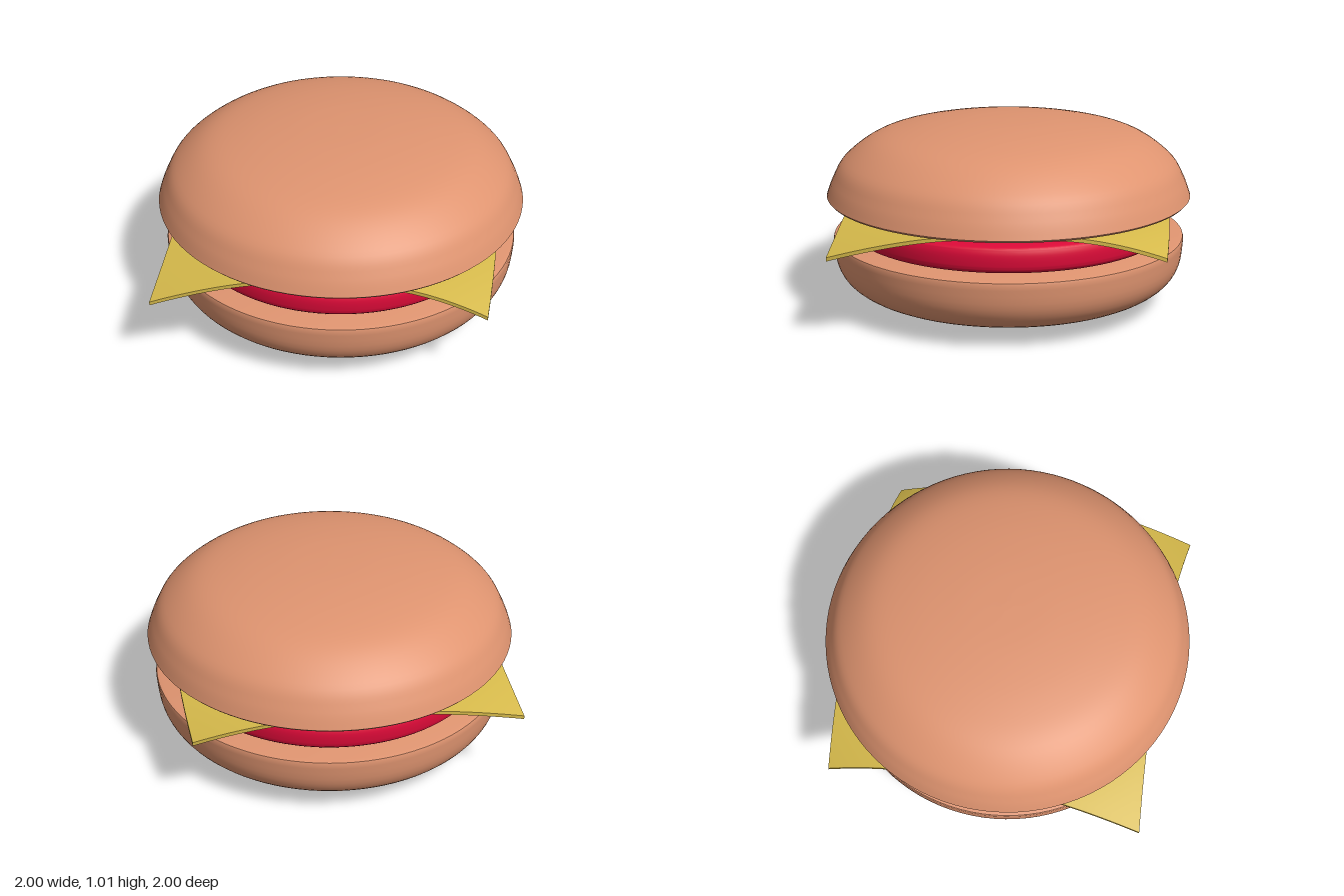
import * as THREE from 'three';
import { toCreasedNormals } from 'three/addons/utils/BufferGeometryUtils.js';

const material = (color) => new THREE.MeshStandardMaterial({ color });

// Smooth curve through [radius, height] pairs
function curve(pairs, divisions = 24) {
  const points = pairs.map(([r, y]) => new THREE.Vector2(r, y));
  return new THREE.SplineCurve(points).getPoints(divisions);
}

// Round part from a profile that runs from the bottom centre to the top centre
function roundPart(name, profile, mat) {
  const geometry = toCreasedNormals(new THREE.LatheGeometry(profile, 96), 0.6);
  const mesh = new THREE.Mesh(geometry, mat);
  mesh.name = name;
  return mesh;
}

// Thin square slice whose four corners sag and drift sideways
function cheeseSlice(mat) {
  const half = 0.855;
  const geometry = new THREE.BoxGeometry(2 * half, 0.02, 2 * half, 40, 1, 40);
  const p = geometry.attributes.position;
  for (let i = 0; i < p.count; i++) {
    const x = p.getX(i), z = p.getZ(i);
    const reach = (Math.abs(x) + Math.abs(z)) / half;
    const sag = Math.pow(Math.max(0, (reach - 1.3) / 0.7), 1.6);
    p.setXYZ(i, x - 0.053 * sag, p.getY(i) + 0.573 - 0.125 * sag, z + 0.053 * sag);
  }
  const mesh = new THREE.Mesh(toCreasedNormals(geometry, 0.6), mat);
  mesh.name = 'cheeseSlice';
  return mesh;
}

export function createModel() {
  const group = new THREE.Group();
  group.name = 'burger';
  const bun = material(0xdf9470);
  const centre = (y) => new THREE.Vector2(0, y);

  // Bottom bun: curved underside, upright rim, flat top
  const bottomProfile = [
    ...curve([[0, 0], [0.2, 0.008], [0.58, 0.04], [0.79, 0.085], [0.9, 0.145], [0.955, 0.235], [0.97, 0.365]]),
    new THREE.Vector2(0.966, 0.378),
    new THREE.Vector2(0.945, 0.384),
    centre(0.385),
  ];

  // Patty: thick disc with rounded edge and slightly domed faces
  const pattyProfile = curve([
    [0, 0.386], [0.55, 0.388], [0.82, 0.394], [0.875, 0.41], [0.887, 0.45],
    [0.882, 0.51], [0.85, 0.535], [0.7, 0.552], [0.4, 0.56], [0, 0.561],
  ], 48);

  // Top bun: flat underside, small lip, wide dome
  const topProfile = [
    centre(0.588),
    new THREE.Vector2(0.96, 0.59),
    new THREE.Vector2(0.99, 0.594),
    ...curve([[1, 0.605], [0.965, 0.695], [0.9, 0.8], [0.74, 0.914], [0.53, 0.972], [0.26, 1.004], [0, 1.012]], 32),
  ];

  group.add(
    roundPart('bottomBun', bottomProfile, bun),
    roundPart('patty', pattyProfile, material(0xdc0a38)),
    cheeseSlice(material(0xd4b84a)),
    roundPart('topBun', topProfile, bun),
  );
  return group;
}
